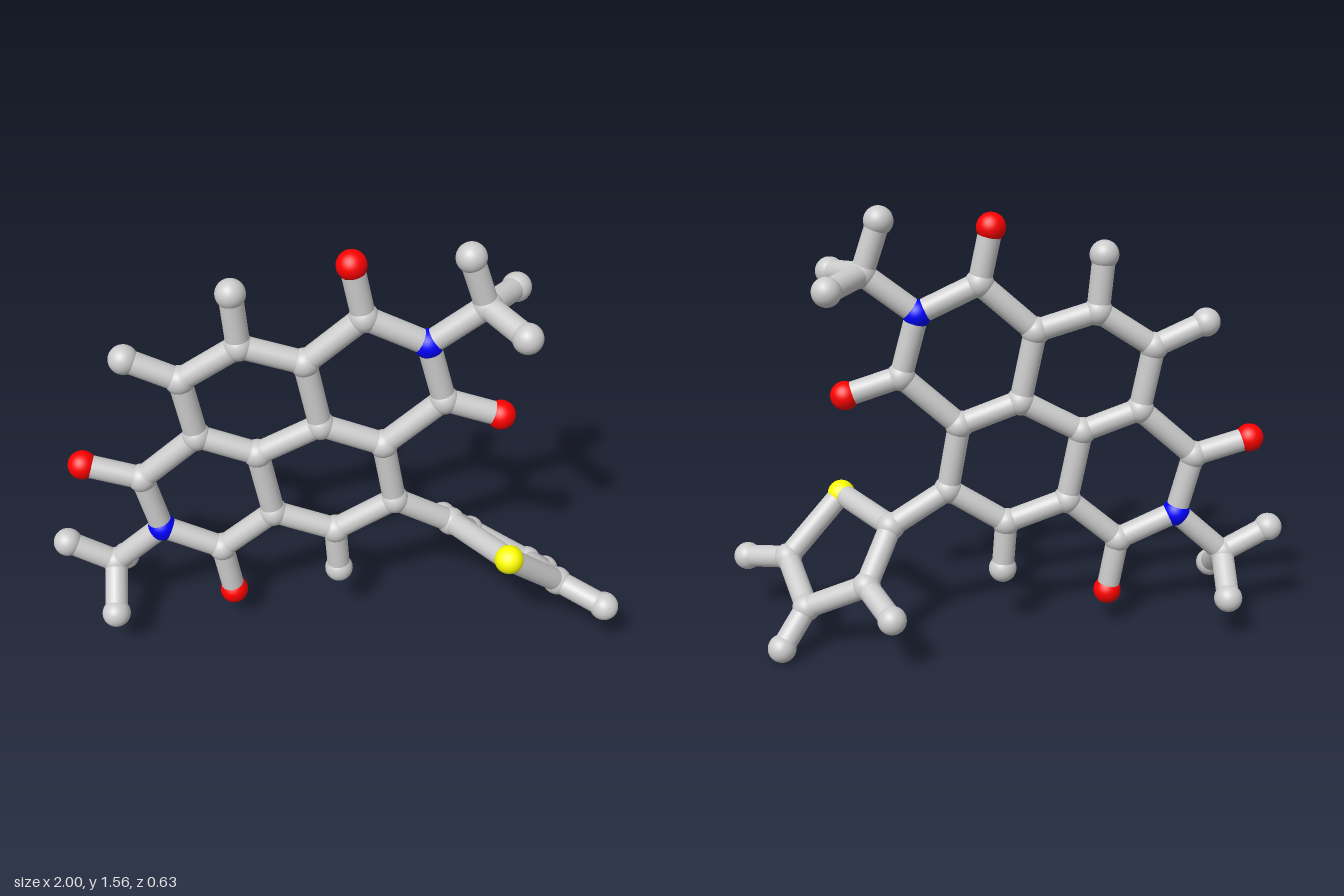
import * as THREE from 'three';

const ATOM_RADIUS = 0.05;
const BOND_RADIUS = 0.04;

const materials = {
  grey: new THREE.MeshStandardMaterial({ color: 0xcccccc }),
  oxygen: new THREE.MeshStandardMaterial({ color: 0xff0000 }),
  nitrogen: new THREE.MeshStandardMaterial({ color: 0x0000ff }),
  sulfur: new THREE.MeshStandardMaterial({ color: 0xffff00 }),
};
const elements = { C: 'carbon', H: 'hydrogen', O: 'oxygen', N: 'nitrogen', S: 'sulfur' };

// Atoms as [x, y, z]; the first letter is the element.
// Without z the atom lies in the slightly turned plane of the fused rings.
const atoms = {
  // upper imide ring
  O1: [0.05, 1.485], C1: [0.09, 1.295], N1: [0.3, 1.195], C2: [0.36, 0.975], O2: [0.553, 0.912],
  // fused ring core
  C3: [0.163, 0.794], C4: [-0.05, 0.874], C5: [-0.1, 1.125], C6: [-0.313, 1.19],
  C7: [-0.51, 1.06], C8: [-0.468, 0.832], C9: [-0.265, 0.757], C10: [-0.217, 0.5],
  C11: [0, 0.42], C12: [0.206, 0.553],
  H6: [-0.33, 1.385], H7: [-0.687, 1.142], H11: [0.013, 0.238],
  // lower imide ring
  C13: [-0.666, 0.655], O3: [-0.864, 0.714], N2: [-0.612, 0.436], C14: [-0.404, 0.34], O4: [-0.37, 0.136],
  // upper methyl
  C20: [0.48, 1.335, 0.05], H20: [0.42, 1.512, 0.055], H21: [0.597, 1.31, 0.2], H22: [0.587, 1.315, -0.107],
  // lower methyl
  C21: [-0.789, 0.275, 0.087], H23: [-0.953, 0.366, 0.093], H24: [-0.777, 0.16, 0.237], H25: [-0.787, 0.163, -0.068],
  // five-sided sulfur ring
  C15: [0.41, 0.43, 0.025], S1: [0.596, 0.46, 0.262], C16: [0.495, 0.27, -0.12],
  C17: [0.71, 0.168, -0.07], C18: [0.79, 0.263, 0.147],
  H16: [0.404, 0.213, -0.27], H17: [0.794, 0.052, -0.152], H18: [0.948, 0.228, 0.238],
};

// Chains of bonded atoms
const chains = [
  'O1 C1 N1 C2 C3 C4 C5 C1', 'C2 O2', 'C5 C6 C7 C8 C9 C4', 'C6 H6', 'C7 H7',
  'C9 C10 C11 C12 C3', 'C11 H11', 'C8 C13 N2 C14 C10', 'C13 O3', 'C14 O4',
  'N1 C20 H20', 'H21 C20 H22', 'N2 C21 H23', 'H24 C21 H25',
  'C12 C15 S1 C18 C17 C16 C15', 'C16 H16', 'C17 H17', 'C18 H18',
];

const position = ([x, y, z = 0.064 - 0.033 * x]) => new THREE.Vector3(x, y, z);

export function createModel() {
  const model = new THREE.Group();
  model.name = 'molecule';
  const ball = new THREE.SphereGeometry(ATOM_RADIUS, 32, 20);
  const rod = new THREE.CylinderGeometry(BOND_RADIUS, BOND_RADIUS, 1, 28, 1, true);
  const up = new THREE.Vector3(0, 1, 0);

  // Atom balls
  for (const [id, coords] of Object.entries(atoms)) {
    const element = elements[id[0]];
    const atom = new THREE.Mesh(ball, materials[element] ?? materials.grey);
    atom.name = `${element}Atom`;
    atom.position.copy(position(coords));
    model.add(atom);
  }

  // Bond rods running from centre to centre
  for (const chain of chains) {
    const ids = chain.split(' ');
    for (let i = 1; i < ids.length; i++) {
      const a = position(atoms[ids[i - 1]]);
      const b = position(atoms[ids[i]]);
      const direction = b.clone().sub(a);
      const bond = new THREE.Mesh(rod, materials.grey);
      bond.name = 'bond';
      bond.scale.y = direction.length();
      bond.position.copy(a).lerp(b, 0.5);
      bond.quaternion.setFromUnitVectors(up, direction.normalize());
      model.add(bond);
    }
  }
  return model;
}
